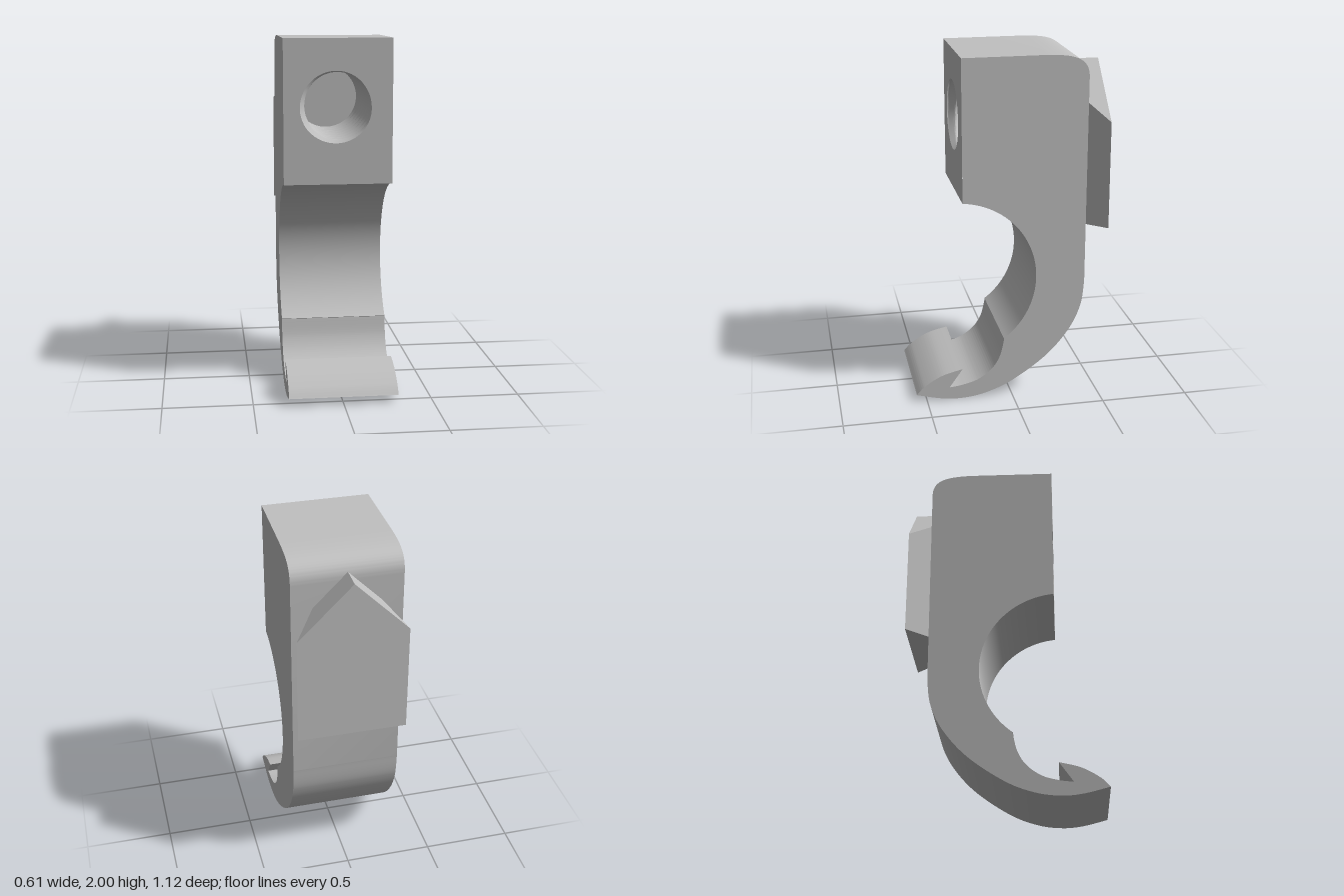
import * as THREE from 'three';
import { toCreasedNormals } from 'three/addons/utils/BufferGeometryUtils.js';
import { ConvexGeometry } from 'three/addons/geometries/ConvexGeometry.js';

const HALF = 0.305;      // half width of the hook
const FRONT = 0.28;      // front plane of the block
const HOLE_Y = 1.625, DEPTH = 0.70, PITCH = 0.09;

// Radius of the threaded hole: a triangular groove wound as a right-hand helix
function threadRadius(angle, z) {
  const u = (FRONT - z) / PITCH + (angle - 3.5) / (2 * Math.PI);
  const wave = Math.abs(u - Math.round(u)) * 2;          // 0 at the root, 1 at the crest
  return 0.185 + 0.03 * Math.min(1, Math.max(0, 1.1 - wave * 1.2));
}

// Side outline, drawn as (z, y)
function hookOutline() {
  const pts = list => list.map(([z, y]) => new THREE.Vector2(z, y));
  const s = new THREE.Shape();
  s.moveTo(FRONT, 1.19);
  s.lineTo(FRONT, 2);
  s.lineTo(-0.2, 2);
  s.bezierCurveTo(-0.34, 1.995, -0.428, 1.98, -0.428, 1.87);
  s.lineTo(-0.425, 0.68);
  s.splineThru(pts([[-0.405, 0.53], [-0.335, 0.38], [-0.2, 0.225], [0, 0.085],
    [0.16, 0.02], [0.3, 0], [0.42, 0.01], [0.56, 0.045]]));
  s.splineThru(pts([[0.51, 0.095], [0.41, 0.153], [0.29, 0.185]]));   // barb
  s.lineTo(0.368, 0.075);
  s.splineThru(pts([[0.29, 0.085], [0.2, 0.112], [0.12, 0.17], [0.07, 0.25], [0.045, 0.355]]));
  s.absarc(0.322, 0.73, 0.463, Math.atan2(-0.375, -0.277), Math.atan2(0.46, -0.042), true);
  return s;
}

// Extruded hook, leaving out the front of the block so the hole can open there
function hookGeometry() {
  const g = new THREE.ExtrudeGeometry(hookOutline(), { depth: 2 * HALF, bevelEnabled: false, curveSegments: 32 });
  g.rotateY(-Math.PI / 2).translate(HALF, 0, 0);
  const p = g.attributes.position.array, kept = [];
  for (let i = 0; i < p.length; i += 9) {
    const onFront = [2, 5, 8].every(k => Math.abs(p[i + k] - FRONT) < 1e-4);
    if (!onFront) kept.push(...p.slice(i, i + 9));
  }
  const out = new THREE.BufferGeometry();
  out.setAttribute('position', new THREE.Float32BufferAttribute(kept, 3));
  return toCreasedNormals(out, 0.5);
}

// Front of the block with the hole cut out
function frontGeometry() {
  const s = new THREE.Shape();
  s.moveTo(-HALF, 1.19);
  s.lineTo(HALF, 1.19);
  s.lineTo(HALF, 2);
  s.lineTo(-HALF, 2);
  const rim = [];
  for (let i = 0; i < 64; i++) {
    const a = (i / 64) * 2 * Math.PI, r = threadRadius(a, FRONT);
    rim.push(new THREE.Vector2(r * Math.cos(a), HOLE_Y + r * Math.sin(a)));
  }
  s.holes.push(new THREE.Path(rim));
  return new THREE.ShapeGeometry(s).translate(0, 0, FRONT);
}

// Inward-facing wall of the hole, pushed out by the thread rule
function threadGeometry() {
  const g = new THREE.CylinderGeometry(1, 1, DEPTH, 64, 128, true);
  g.rotateX(Math.PI / 2).translate(0, 0, FRONT - DEPTH / 2);
  const p = g.attributes.position;
  for (let i = 0; i < p.count; i++) {
    const a = Math.atan2(p.getY(i), p.getX(i)), r = threadRadius(a, p.getZ(i));
    p.setXY(i, r * Math.cos(a), HOLE_Y + r * Math.sin(a));
  }
  g.setIndex(Array.from(g.index.array).reverse());
  return toCreasedNormals(g, 0.5);
}

// Dovetail key: a house-shaped section that widens towards the back
function dovetailGeometry() {
  const points = [];
  for (const [z, w] of [[-0.425, 0.185], [-0.56, HALF]]) {
    for (const side of [-1, 1]) {
      points.push(new THREE.Vector3(side * w, 0.99, z), new THREE.Vector3(side * w, 1.915 - w, z));
    }
    points.push(new THREE.Vector3(0, 1.915, z));
  }
  return new ConvexGeometry(points);
}

export function createModel() {
  const metal = new THREE.MeshStandardMaterial({ color: 0xc0c0c0 });
  metal.name = 'plain grey';
  const model = new THREE.Group();
  model.name = 'clampHook';
  const add = (name, geometry) => {
    const mesh = new THREE.Mesh(geometry, metal);
    mesh.name = name;
    model.add(mesh);
  };
  add('hookBody', hookGeometry());
  add('blockFront', frontGeometry());
  add('threadedHole', threadGeometry());
  add('holeFloor', new THREE.CircleGeometry(0.215, 64).translate(0, HOLE_Y, FRONT - DEPTH));
  add('dovetailKey', dovetailGeometry());
  return model;
}
